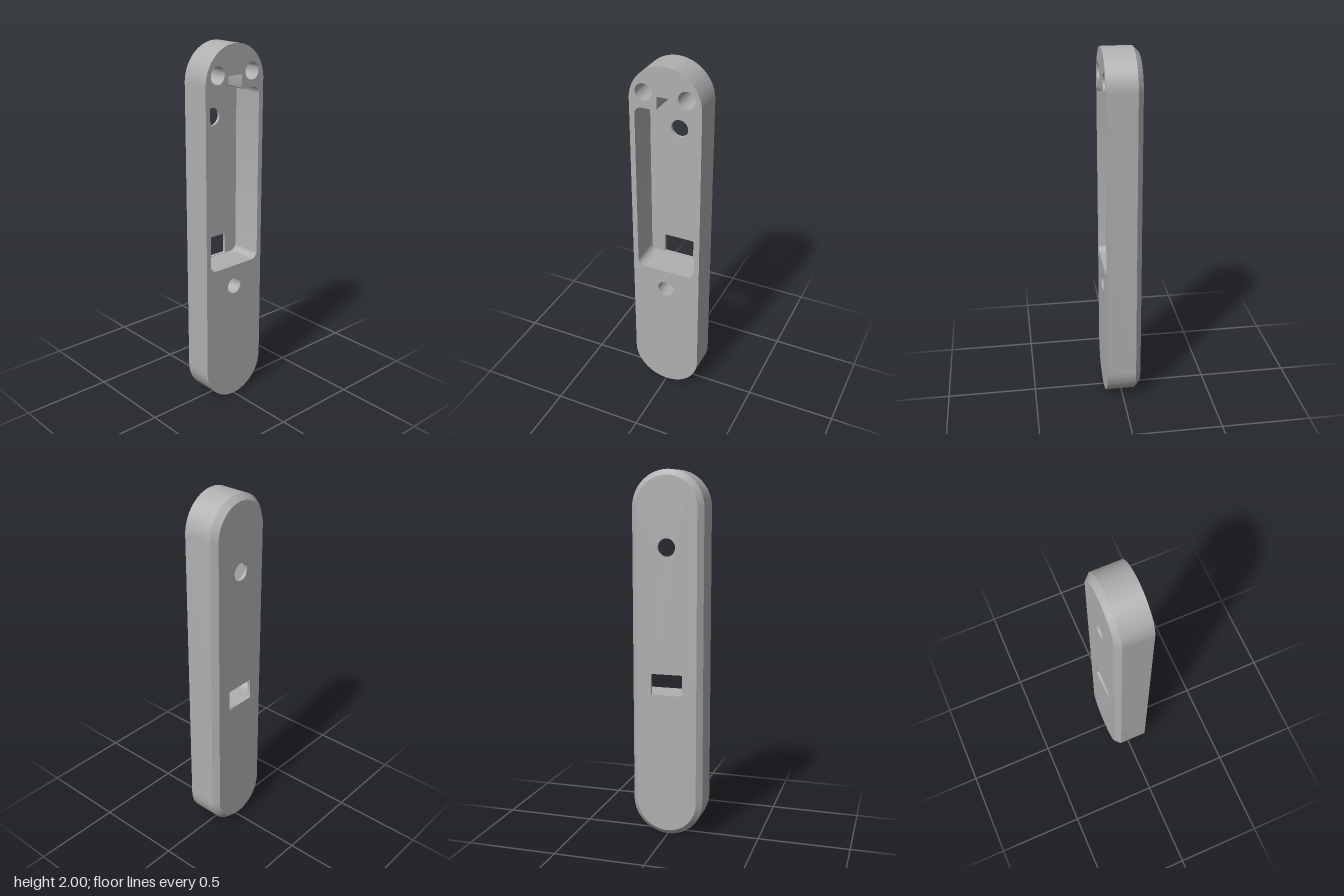
import * as THREE from 'three';
import { toCreasedNormals } from 'three/addons/utils/BufferGeometryUtils.js';

const FRONT = 0.095, CHAMFER = -0.067, BACK = -0.097, FLOOR = -0.08, BLIND = -0.035;
const PI = Math.PI;

// Points of a path without repeats, running counter-clockwise
function loop(path, divisions) {
  const pts = path.getPoints(divisions).filter((p, i, all) =>
    p.distanceTo(all[(i + 1) % all.length]) > 1e-6);
  return THREE.ShapeUtils.isClockWise(pts) ? pts.reverse() : pts;
}

// Rounded ends: a slot-shaped outline drawn in from the edge by an inset
function outline(inset) {
  const r = 0.197 - inset;
  return loop(new THREE.Path()
    .absarc(0, 1.803, r, 0, PI)
    .absarc(0, 0.197, r, PI, 2 * PI)
    .closePath(), 32);
}

function circle(x, y, r) {
  return loop(new THREE.Path().absarc(x, y, r, 0, 2 * PI), 36);
}

function roundedRect(x0, y0, x1, y1, r) {
  return loop(new THREE.Path()
    .absarc(x0 + r, y0 + r, r, PI, 1.5 * PI)
    .absarc(x1 - r, y0 + r, r, 1.5 * PI, 2 * PI)
    .absarc(x1 - r, y1 - r, r, 0, 0.5 * PI)
    .absarc(x0 + r, y1 - r, r, 0.5 * PI, PI)
    .closePath(), 6);
}

// Rounded recess with a narrow notch at the top
function pocketLoop() {
  const w = 0.168, y0 = 0.8, y1 = 1.765, r = 0.04, n = 0.045, f = 0.01, top = 1.84;
  return loop(new THREE.Path()
    .absarc(-w + r, y0 + r, r, PI, 1.5 * PI)
    .absarc(w - r, y0 + r, r, 1.5 * PI, 2 * PI)
    .absarc(w - r, y1 - r, r, 0, 0.5 * PI)
    .absarc(n + f, y1 + f, f, 1.5 * PI, PI, true)
    .lineTo(n, top)
    .lineTo(-n, top)
    .absarc(-n - f, y1 + f, f, 0, -0.5 * PI, true)
    .absarc(-w + r, y1 - r, r, 0.5 * PI, PI)
    .closePath(), 10);
}

// Wall between a front loop and a back loop; inward walls line a hole
function wall(front, zFront, back, zBack, inward = false) {
  const pos = [];
  front.forEach((a, i) => {
    const j = (i + 1) % front.length;
    const A = [a.x, a.y, zFront], B = [front[j].x, front[j].y, zFront];
    const C = [back[i].x, back[i].y, zBack], D = [back[j].x, back[j].y, zBack];
    pos.push(...(inward ? [D, C, B, C, A, B] : [C, D, B, C, B, A]).flat());
  });
  const geo = new THREE.BufferGeometry();
  geo.setAttribute('position', new THREE.Float32BufferAttribute(pos, 3));
  return toCreasedNormals(geo, 0.5);
}

// Flat face with holes, facing the front or the back
function face(points, z, holes = [], facesBack = false) {
  // Rotating half a turn about y is undone by mirroring x first
  const flip = p => new THREE.Vector2(facesBack ? -p.x : p.x, p.y);
  const shape = new THREE.Shape(points.map(flip));
  shape.holes = holes.map(h => new THREE.Path(h.map(flip)));
  const geo = new THREE.ShapeGeometry(shape);
  if (facesBack) geo.rotateY(PI);
  return geo.translate(0, 0, z);
}

export function createModel() {
  const model = new THREE.Group();
  model.name = 'coverPlate';
  const grey = new THREE.MeshStandardMaterial({ color: 0xb0b0b0 });
  grey.name = 'grey';
  const add = (name, geo) => {
    const mesh = new THREE.Mesh(geo, grey);
    mesh.name = name;
    model.add(mesh);
  };

  const edge = outline(0), backEdge = outline(0.03);
  const pocket = pocketLoop();
  const screwHoles = [[-0.117, 1.85], [0.117, 1.85], [0, 0.68]].map(([x, y]) => circle(x, y, 0.046));
  const openings = [circle(0, 1.597, 0.048), roundedRect(-0.087, 0.802, 0.087, 0.917, 0.005)];

  // Outer body
  add('frontFace', face(edge, FRONT, [pocket, ...screwHoles]));
  add('sideWall', wall(edge, FRONT, edge, CHAMFER));
  add('backChamfer', wall(edge, CHAMFER, backEdge, BACK));
  add('backFace', face(backEdge, BACK, openings, true));

  // Recess
  add('pocketWall', wall(pocket, FRONT, pocket, FLOOR, true));
  add('pocketFloor', face(pocket, FLOOR, openings));

  // Round and rectangular openings through the thin floor
  openings.forEach((o, i) =>
    add(['roundOpening', 'slotOpening'][i], wall(o, FLOOR, o, BACK, true)));

  // Blind screw holes
  screwHoles.forEach((h, i) => {
    add('screwHoleWall' + (i + 1), wall(h, FRONT, h, BLIND, true));
    add('screwHoleBottom' + (i + 1), face(h, BLIND));
  });
  return model;
}
